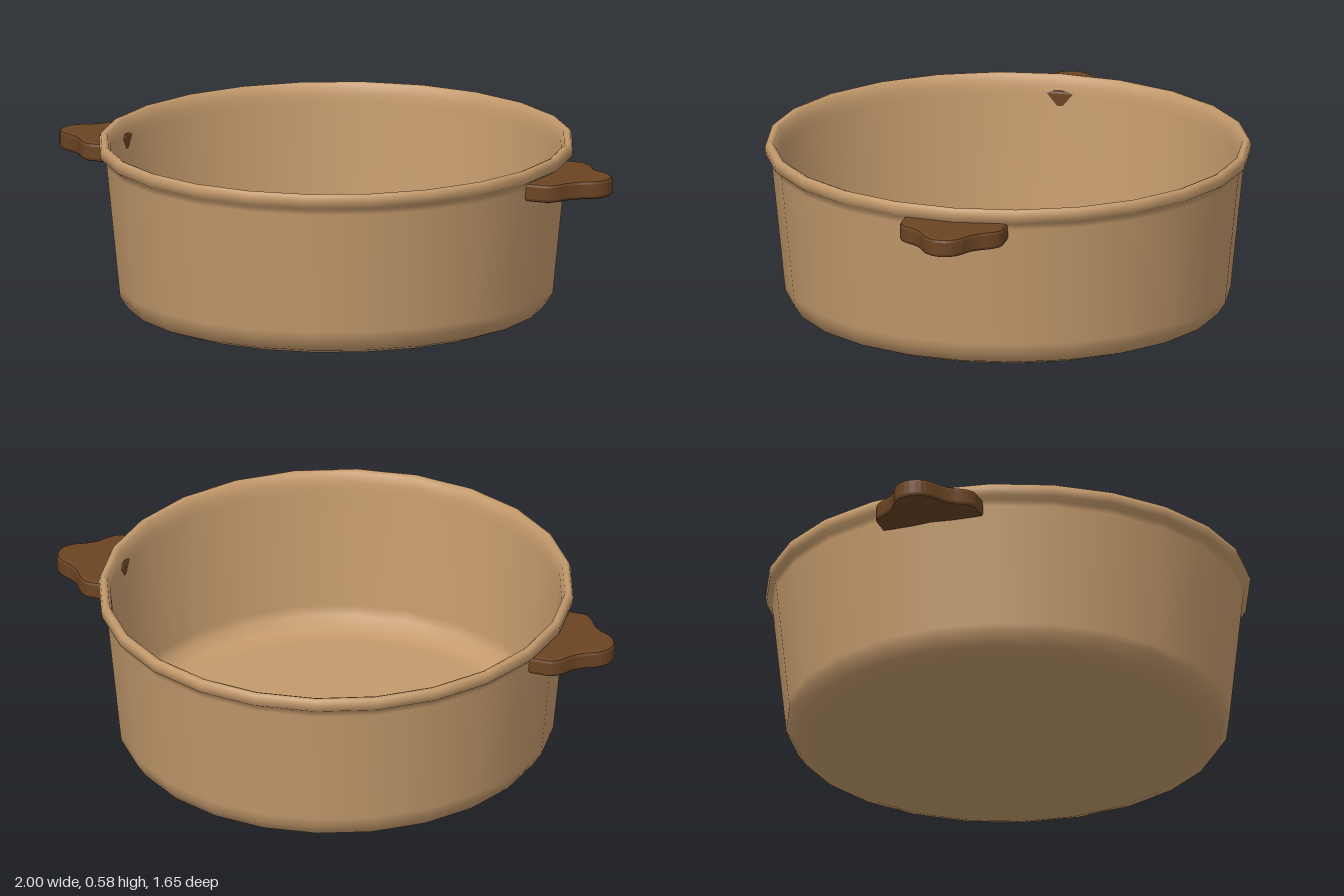
import * as THREE from 'three';

export function createModel() {
  const clay = new THREE.MeshStandardMaterial({ color: 0xc49a6c });
  clay.name = 'tan clay';
  const wood = new THREE.MeshStandardMaterial({ color: 0x6b4423 });
  wood.name = 'dark brown wood';

  const model = new THREE.Group();
  model.name = 'cookingPot';

  // Closed wall profile: underside, outer wall, rolled rim, inner wall, floor
  const profile = [
    [0, 0], [0.66, 0], [0.68, 0.001], [0.73, 0.02], [0.757, 0.06],
    [0.76, 0.09], [0.803, 0.51], [0.807, 0.53], [0.824, 0.542],
    [0.827, 0.565], [0.822, 0.582], [0.81, 0.585], [0.797, 0.58],
    [0.787, 0.55], [0.783, 0.52], [0.738, 0.1], [0.728, 0.065],
    [0.695, 0.035], [0.65, 0.025], [0.63, 0.025], [0, 0.025],
  ].map(([r, y]) => new THREE.Vector2(r, y));
  const body = new THREE.Mesh(new THREE.LatheGeometry(profile, 24), clay);
  body.name = 'potBody';
  body.scale.x = 0.975;
  model.add(body);

  // Flared handle outline, drawn in plan and extruded upward
  const bevel = 0.012;
  const outline = new THREE.Shape();
  outline.moveTo(0.77, -0.168);
  outline.lineTo(0.825, -0.168);
  outline.quadraticCurveTo(0.85, -0.165, 0.87, -0.13);
  outline.quadraticCurveTo(0.89, -0.09, 0.935, -0.068);
  outline.quadraticCurveTo(0.988, -0.045, 0.988, 0);
  outline.quadraticCurveTo(0.988, 0.045, 0.935, 0.068);
  outline.quadraticCurveTo(0.89, 0.09, 0.87, 0.13);
  outline.quadraticCurveTo(0.85, 0.165, 0.825, 0.168);
  outline.lineTo(0.77, 0.168);
  outline.closePath();
  const handleGeometry = new THREE.ExtrudeGeometry(outline, {
    depth: 0.065 - 2 * bevel, bevelThickness: bevel, bevelSize: bevel,
    bevelSegments: 2, curveSegments: 5,
  });
  handleGeometry.rotateX(-Math.PI / 2);
  handleGeometry.translate(0, 0.47 + bevel, 0);

  // One handle on each side
  for (const [name, turn] of [['leftHandle', 0], ['rightHandle', Math.PI]]) {
    const handle = new THREE.Mesh(handleGeometry, wood);
    handle.name = name;
    handle.rotation.y = turn;
    model.add(handle);
  }
  return model;
}
